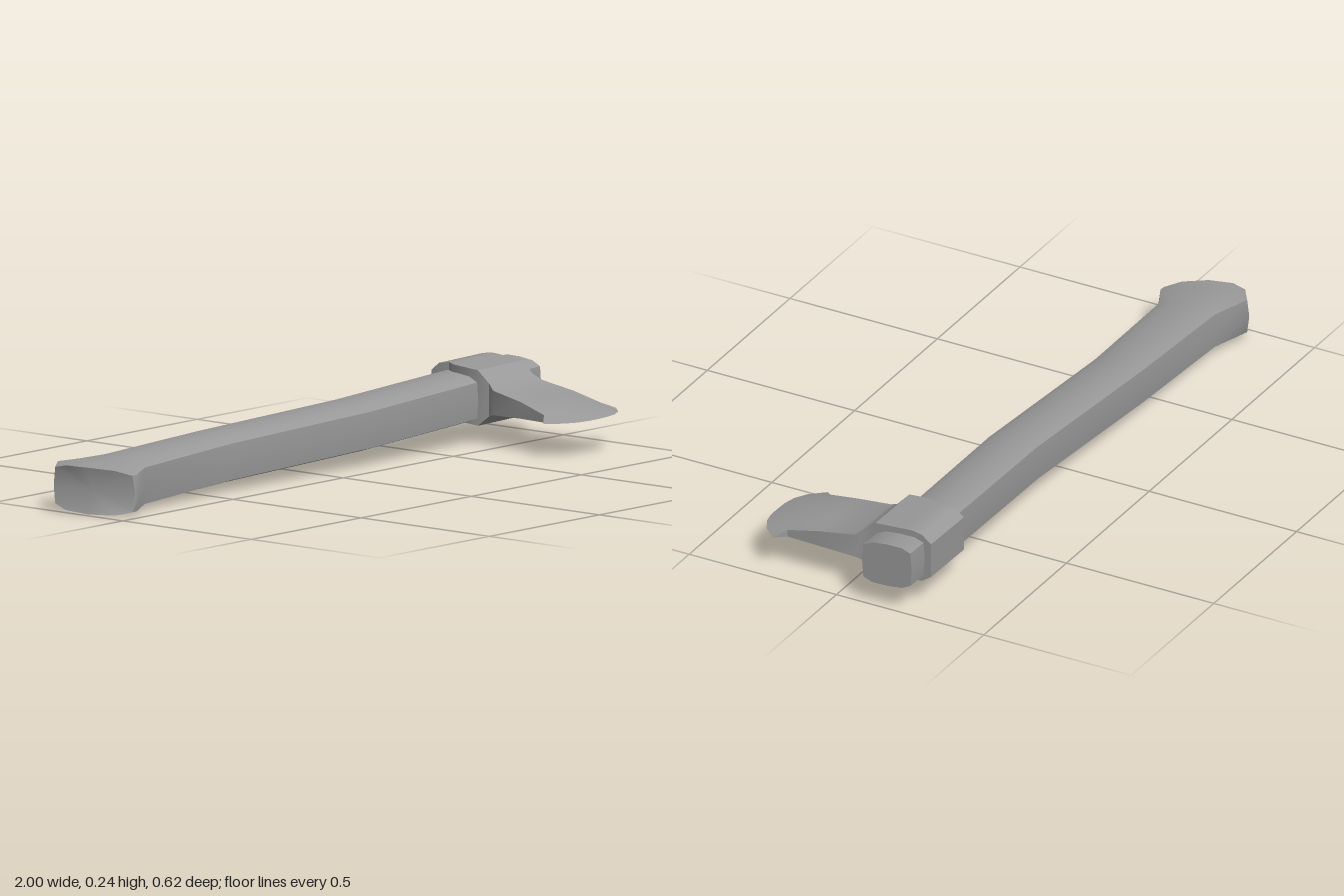
import * as THREE from 'three';
import { toCreasedNormals } from 'three/addons/utils/BufferGeometryUtils.js';

const material = new THREE.MeshStandardMaterial({ color: 0x999999 });

// Skins a row of closed rings of [x, y, z] points; optional caps at both ends.
function loft(rings, crease, capStart, capEnd) {
  const pos = [];
  const tri = (...pts) => pts.forEach((p) => pos.push(...p));
  const n = rings[0].length;
  const centre = (ring) => [0, 1, 2].map((k) => ring.reduce((s, p) => s + p[k], 0) / n);
  for (let i = 0; i < rings.length - 1; i++) {
    for (let j = 0; j < n; j++) {
      const k = (j + 1) % n;
      const [a, b, c, d] = [rings[i][j], rings[i + 1][j], rings[i + 1][k], rings[i][k]];
      tri(a, b, c);
      tri(a, c, d);
    }
  }
  const first = rings[0], last = rings[rings.length - 1];
  for (let j = 0; j < n; j++) {
    const k = (j + 1) % n;
    if (capStart) tri(centre(first), first[j], first[k]);
    if (capEnd) tri(centre(last), last[k], last[j]);
  }
  const geometry = new THREE.BufferGeometry();
  geometry.setAttribute('position', new THREE.Float32BufferAttribute(pos, 3));
  return toCreasedNormals(geometry, crease);
}

function part(name, geometry) {
  const mesh = new THREE.Mesh(geometry, material);
  mesh.name = name;
  return mesh;
}

function createHandle() {
  // Upper half of the rounded-square section, turned round for the lower half.
  const upper = [[1, 0], [0.95, 0.78], [0.6, 0.96], [0, 1], [-0.6, 0.96], [-0.95, 0.78]];
  const section = [...upper, ...upper.map(([z, y]) => [-z, -y])];
  // back x, back z, front x, front z, bulge of the end towards -x
  const stations = [
    [-1.0, -0.27, -0.91, -0.03, 0.03],
    [-0.94, -0.312, -0.895, -0.028, 0.01],
    [-0.81, -0.272, -0.81, -0.073, 0],
    [-0.4, -0.265, -0.4, -0.09, 0],
    [0.2, -0.238, 0.2, -0.065, 0],
    [0.7, -0.25, 0.7, -0.083, 0],
    [1.0, -0.255, 1.0, -0.087, 0],
  ];
  const rings = stations.map(([xb, zb, xf, zf, bulge]) => section.map(([s, t]) => {
    const x = (xb + xf) / 2 + s * (xf - xb) / 2 - bulge * (1 - s * s);
    const z = (zb + zf) / 2 + s * (zf - zb) / 2;
    // the handle rises towards the head and is rolled slightly
    const y = 0.111 + 0.0375 * x + 0.07 * t - 0.07 * (z + 0.17);
    return [x, y, z];
  }));
  return part('handle', loft(rings, 0.95, true, true));
}

function createHead() {
  const N = 8;
  // z, x min, x max, y bottom, y top, forward bow of the middle, thinning at the sides
  const stations = [
    [-0.275, 0.72, 0.918, 0.095, 0.205, 0, 0],
    [-0.245, 0.72, 0.918, 0.074, 0.229, 0, 0],
    [-0.21, 0.725, 0.918, 0.07, 0.235, 0, 0],
    [-0.18, 0.71, 0.918, 0.067, 0.233, 0, 0],
    [-0.085, 0.71, 0.918, 0.059, 0.226, 0, 0],
    [-0.05, 0.72, 0.918, 0.089, 0.189, 0, 0],
    [-0.02, 0.705, 0.927, 0.099, 0.172, 0, 0],
    [0.1, 0.692, 0.929, 0.097, 0.159, 0, 0.2],
    [0.205, 0.673, 0.93, 0.095, 0.14, 0.01, 0.5],
    [0.235, 0.635, 0.965, 0.111, 0.111, 0.077, 0], // cutting edge
  ];
  const rings = stations.map(([z, x0, x1, yb, yt, bow, thin]) => {
    const mid = (yb + yt) / 2;
    const row = (y) => Array.from({ length: N + 1 }, (_, i) => {
      const t = (i / N) * 2 - 1;
      const x = x0 + (x1 - x0) * (t + 1) / 2;
      const lift = (y - mid) * (1 - thin * t * t);
      return [x, mid + lift + 0.02 * (x - 0.82), z + bow * (1 - Math.abs(t) ** 3)];
    });
    return [...row(yt), ...row(yb).reverse()];
  });
  return part('axeHead', loft(rings, 0.6, true, false));
}

export function createModel() {
  const group = new THREE.Group();
  group.name = 'axe';
  group.add(createHandle(), createHead());
  return group;
}
